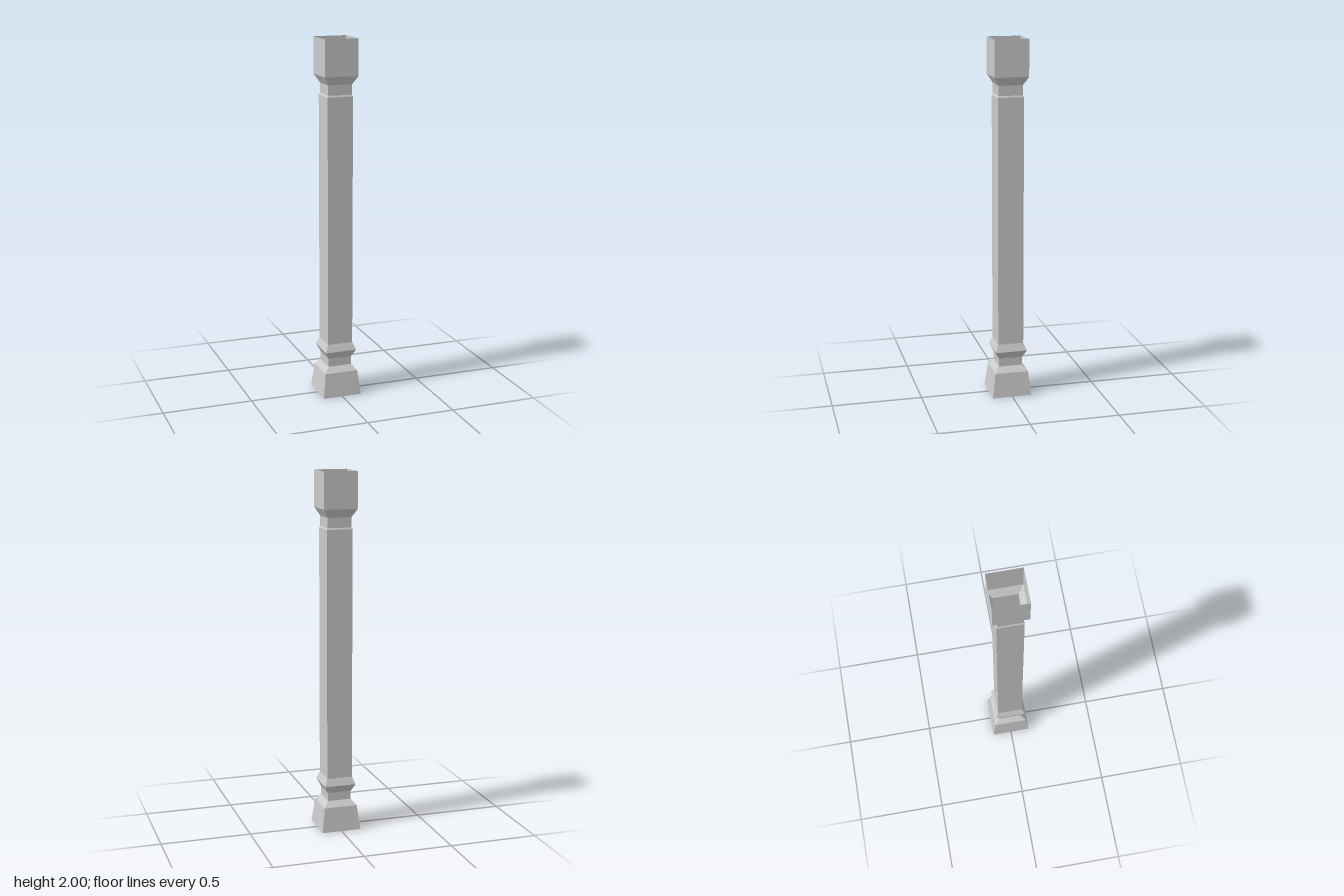
import * as THREE from 'three';

// Hollow four-sided section from [half width, height] profile points
function squareSection(name, profile, material) {
  const points = profile.map(([half, y]) => new THREE.Vector2(half * Math.SQRT2, y));
  const geometry = new THREE.LatheGeometry(points, 4, Math.PI / 4).toNonIndexed();
  geometry.computeVertexNormals(); // flat faces
  const mesh = new THREE.Mesh(geometry, material);
  mesh.name = name;
  return mesh;
}

export function createModel() {
  const stone = new THREE.MeshStandardMaterial({ color: 0xcccccc, side: THREE.DoubleSide });
  stone.name = 'pale grey stone';

  const column = new THREE.Group();
  column.name = 'column';
  column.add(
    // Flared plinth with a sloped shoulder
    squareSection('plinth', [[0.111, 0], [0.094, 0.138], [0.067, 0.17]], stone),
    // Lower neck and pointed collar
    squareSection('collar', [[0.067, 0.17], [0.067, 0.217], [0.089, 0.26], [0.072, 0.302]], stone),
    // Long shaft with a small step at the top
    squareSection('shaft', [[0.072, 0.302], [0.072, 1.69], [0.067, 1.699]], stone),
    // Upper neck widening into the open block
    squareSection('capital', [[0.067, 1.699], [0.067, 1.754], [0.094, 1.8], [0.094, 2]], stone)
  );
  return column;
}
